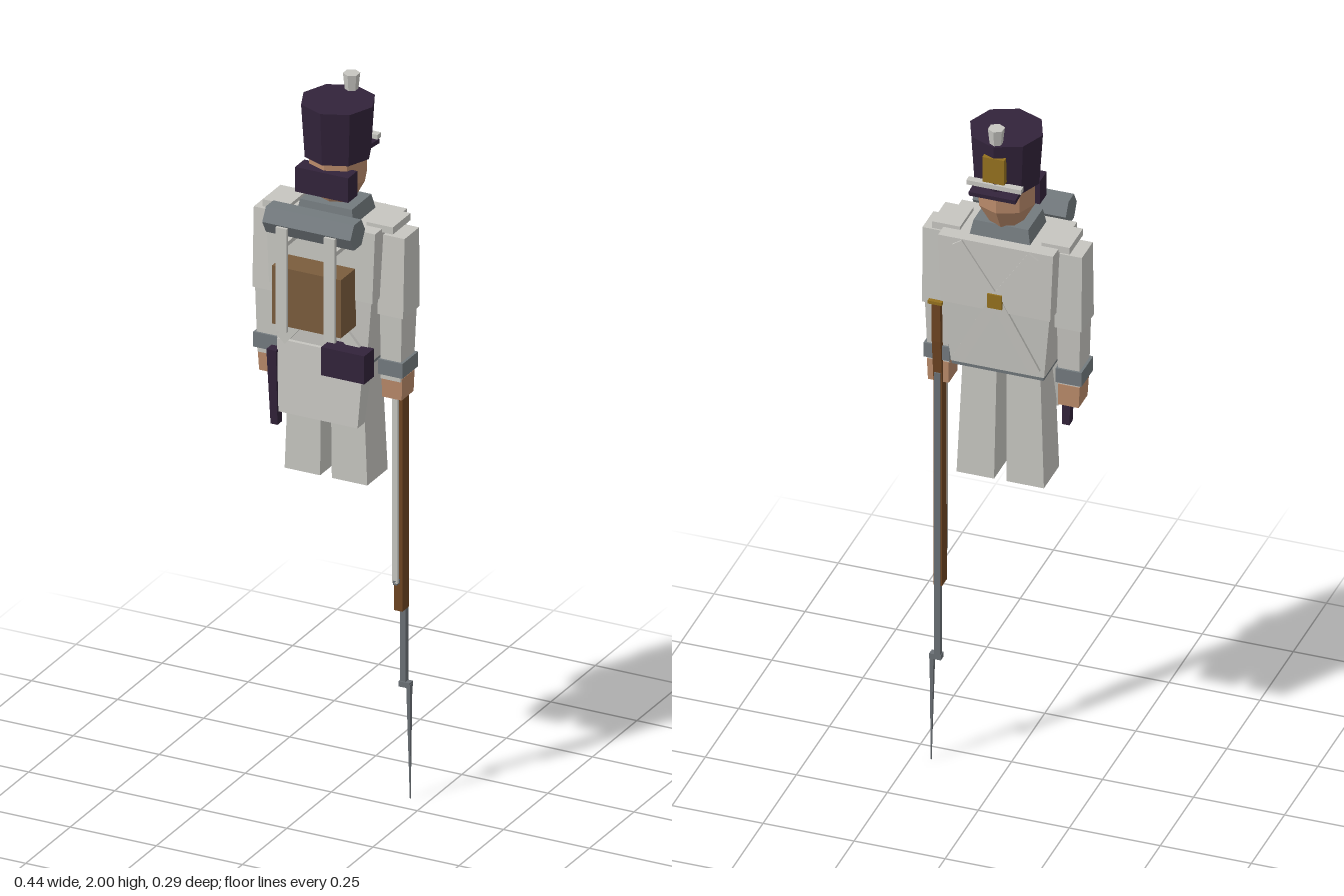
import * as THREE from 'three';

const mat = (name, color) => {
  const m = new THREE.MeshStandardMaterial({ color, flatShading: true });
  m.name = name;
  return m;
};

export function createModel() {
  const root = new THREE.Group();
  root.name = 'soldier';
  const cloth = mat('off-white cloth', 0xc6c5c0);
  const dark = mat('dark plum', 0x32233a);
  const grey = mat('blue grey', 0x737a7e);
  const skin = mat('skin', 0xb98a6a);
  const leather = mat('brown leather', 0x7a5c3c);
  const wood = mat('gun wood', 0x6e4522);
  const brass = mat('brass', 0x94711f);
  const steel = mat('steel', 0x6a7075);

  const add = (name, geo, material, x = 0, y = 0, z = 0) => {
    const m = new THREE.Mesh(geo, material);
    m.name = name;
    m.position.set(x, y, z);
    root.add(m);
    return m;
  };
  // Box given by its extents
  const box = (name, material, x0, x1, y0, y1, z0, z1) =>
    add(name, new THREE.BoxGeometry(x1 - x0, y1 - y0, z1 - z0), material,
      (x0 + x1) / 2, (y0 + y1) / 2, (z0 + z1) / 2);
  // Tapered block: bottom and top are [x0, x1, z0, z1]
  const block = (name, material, y0, bottom, y1, top) => {
    const g = new THREE.BoxGeometry(1, 1, 1);
    const p = g.attributes.position;
    for (let i = 0; i < p.count; i++) {
      const up = p.getY(i) > 0, r = up ? top : bottom;
      p.setXYZ(i, p.getX(i) > 0 ? r[1] : r[0], up ? y1 : y0, p.getZ(i) > 0 ? r[3] : r[2]);
    }
    g.computeVertexNormals();
    return add(name, g, material);
  };
  // Flat strap between two points in a plane of constant z
  const strap = (name, x0, y0, x1, y1, z, width, depth) => {
    const m = add(name, new THREE.BoxGeometry(width, Math.hypot(x1 - x0, y1 - y0), depth), cloth,
      (x0 + x1) / 2, (y0 + y1) / 2, z);
    m.rotation.z = -Math.atan2(x1 - x0, y1 - y0);
    return m;
  };

  // Hat
  const hz = -0.0375;
  add('hat', new THREE.CylinderGeometry(0.1, 0.09, 0.15, 8), dark, 0, 1.88, hz);
  add('plume', new THREE.CylinderGeometry(0.0225, 0.015, 0.07, 6), cloth, 0, 1.965, -0.114);
  const visor = box('visor', dark, -0.064, 0.064, 1.803, 1.815, -0.147, -0.08);
  visor.rotation.x = -0.1;
  box('hatPlate', brass, -0.03, 0.03, 1.845, 1.92, -0.138, -0.11);
  box('hatCord', cloth, -0.075, 0.075, 1.825, 1.838, -0.135, -0.115);

  // Head, hair and collar
  add('head', new THREE.CylinderGeometry(0.078, 0.078, 0.07, 8), skin, 0, 1.775, hz);
  add('jaw', new THREE.CylinderGeometry(0.078, 0.045, 0.06, 8), skin, 0, 1.71, hz);
  box('hair', dark, -0.077, 0.077, 1.715, 1.785, 0.003, 0.054);
  block('collar', grey, 1.635, [-0.085, 0.085, -0.09, 0.036], 1.685, [-0.075, 0.075, -0.08, 0.03]);

  // Coat
  block('chest', cloth, 1.445, [-0.15, 0.15, -0.12, 0.06], 1.645, [-0.158, 0.158, -0.12, 0.06]);
  block('waist', cloth, 1.26, [-0.128, 0.128, -0.106, 0.05], 1.445, [-0.146, 0.146, -0.115, 0.057]);
  block('coatHem', grey, 1.25, [-0.126, 0.126, -0.104, 0.048], 1.262, [-0.127, 0.127, -0.105, 0.049]);
  block('coatTails', cloth, 1.09, [-0.115, 0.115, 0.035, 0.075], 1.29, [-0.126, 0.126, 0.0, 0.062]);

  // Cross belts on chest and back
  for (const s of [-1, 1]) {
    strap('chestBelt', s * 0.105, 1.635, 0, 1.478, -0.121, 0.032, 0.009);
    const low = strap('waistBelt', 0, 1.478, s * 0.105, 1.275, -0.114, 0.032, 0.009);
    low.rotation.order = 'XYZ';
    low.rotation.x = -0.045;
    strap('backBelt', s * 0.115, 1.29, s * 0.02, 1.40, 0.057, 0.032, 0.012);
  }
  box('beltPlate', brass, -0.02, 0.02, 1.458, 1.5, -0.13, -0.115);

  // Limbs
  for (const s of [-1, 1]) {
    const side = (a, b, z0, z1) => (s > 0 ? [a, b, z0, z1] : [-b, -a, z0, z1]);
    block('leg', cloth, 0.91, side(0.017, 0.12, -0.085, 0.03), 1.27, side(0.013, 0.106, -0.075, 0.03));
    block('upperArm', cloth, 1.4, side(0.145, 0.219, -0.073, 0.02), 1.625, side(0.14, 0.219, -0.07, 0.012));
    block('forearm', cloth, 1.215, side(0.15, 0.208, -0.06, 0.013), 1.4, side(0.15, 0.213, -0.068, 0.016));
    block('cuff', grey, 1.23, side(0.146, 0.217, -0.068, 0.02), 1.272, side(0.146, 0.217, -0.068, 0.02));
    block('hand', skin, 1.16, side(0.15, 0.207, -0.062, 0.005), 1.222, side(0.15, 0.21, -0.062, 0.008));
    block('shoulderStrap', cloth, 1.635, side(0.112, 0.189, -0.08, 0.02), 1.655, side(0.112, 0.189, -0.08, 0.02));
  }

  // Pack and bedroll
  box('backpack', leather, -0.1, 0.1, 1.37, 1.535, 0.05, 0.14);
  const roll = add('bedroll', new THREE.CylinderGeometry(0.0415, 0.0415, 0.256, 6), grey, 0, 1.653, 0.099);
  roll.rotation.set(0, 0, Math.PI / 2);
  roll.geometry.rotateY(0);
  for (const s of [-1, 1]) {
    box('packStrap', cloth, s * 0.07 - 0.016, s * 0.07 + 0.016, 1.355, 1.65, 0.138, 0.147);
    box('packStrapTop', cloth, s * 0.07 - 0.016, s * 0.07 + 0.016, 1.6, 1.612, 0.05, 0.145);
  }

  // Cartridge box and scabbard
  box('cartridgeBox', dark, 0.025, 0.15, 1.235, 1.315, 0.05, 0.105);
  block('scabbard', dark, 1.04, [-0.148, -0.128, 0.03, 0.055], 1.26, [-0.15, -0.122, 0.045, 0.075]);

  // Musket, held muzzle down
  const outline = [[-0.032, 0.54], [-0.034, 1.17], [-0.03, 1.41], [-0.083, 1.41], [-0.08, 1.29], [-0.068, 1.17], [-0.068, 0.54]];
  const stock = new THREE.ExtrudeGeometry(
    new THREE.Shape(outline.map(([z, y]) => new THREE.Vector2(-z, y))), { depth: 0.024, bevelEnabled: false });
  stock.rotateY(Math.PI / 2);
  add('musketStock', stock, wood, 0.166);
  box('buttPlate', brass, 0.161, 0.2, 1.405, 1.414, -0.085, -0.028);
  box('barrel', steel, 0.17, 0.187, 0.32, 1.19, -0.073, -0.056);
  box('musketSling', cloth, 0.169, 0.185, 0.625, 1.16, -0.022, -0.015);
  box('slingLoopLow', steel, 0.171, 0.183, 0.62, 0.632, -0.035, -0.015);
  box('bayonetSocket', steel, 0.168, 0.2, 0.315, 0.33, -0.072, -0.052);
  block('bayonet', steel, 0, [0.198, 0.2, -0.06, -0.058], 0.325, [0.19, 0.201, -0.067, -0.053]);

  return root;
}
